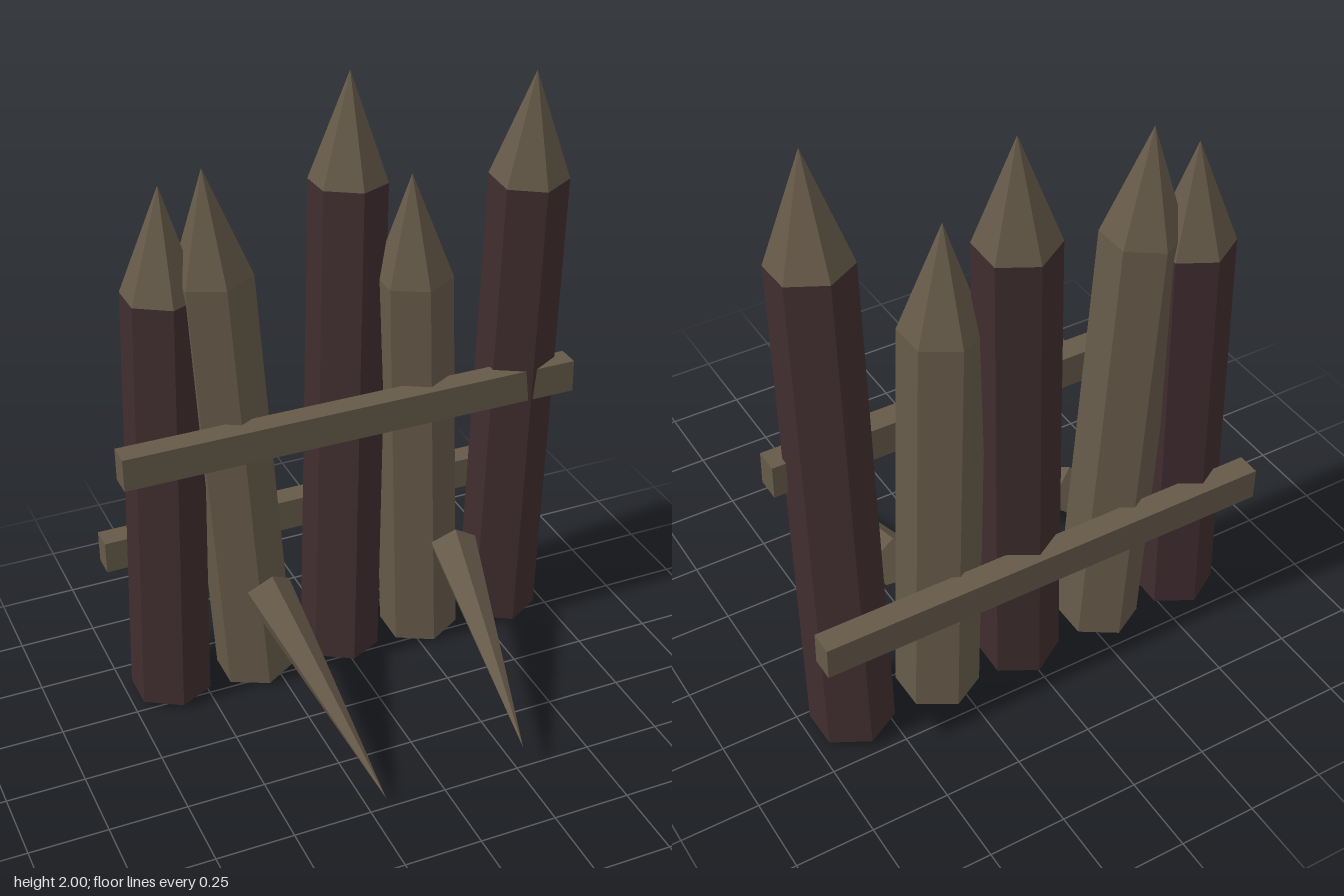
import * as THREE from 'three';

const wood = new THREE.MeshStandardMaterial({ color: 0x665a49, flatShading: true });
wood.name = 'weathered wood';
const bark = new THREE.MeshStandardMaterial({ color: 0x402d2f, flatShading: true });
bark.name = 'dark bark';

const UP = new THREE.Vector3(0, 1, 0);
const FRONT = new THREE.Vector3(0, 0, 1);

// Stands an object at `from` with its y axis towards `to`, and one corner turned to `corner`
function aim(object, from, to, corner) {
  const y = to.clone().sub(from).normalize();
  const z = corner.clone().addScaledVector(y, -corner.dot(y)).normalize();
  const x = new THREE.Vector3().crossVectors(y, z);
  object.quaternion.setFromRotationMatrix(new THREE.Matrix4().makeBasis(x, y, z));
  object.position.copy(from);
  return object;
}

function part(name, geometry, material) {
  const mesh = new THREE.Mesh(geometry, material);
  mesh.name = name;
  return mesh;
}

// Six-sided leaning post with a sharpened point
function stake(name, baseX, tip, material) {
  const from = new THREE.Vector3(baseX, 0.01, -0.337);
  const to = new THREE.Vector3(...tip);
  const tipHeight = 0.345;
  const height = from.distanceTo(to) - tipHeight;
  const group = new THREE.Group();
  group.name = name;
  const post = part('post', new THREE.CylinderGeometry(0.125, 0.132, height, 6), material);
  post.position.y = height / 2;
  const point = part('sharpenedPoint', new THREE.ConeGeometry(0.125, tipHeight, 6, 1, true), wood);
  point.position.y = height + tipHeight / 2;
  group.add(post, point);
  return aim(group, from, to, FRONT);
}

// Five-sided spike jutting forwards and down
function spike(name, base, tip) {
  const from = new THREE.Vector3(...base);
  const to = new THREE.Vector3(...tip);
  const length = from.distanceTo(to);
  const geometry = new THREE.ConeGeometry(0.08, length, 5).translate(0, length / 2, 0);
  return aim(part(name, geometry, wood), from, to, UP);
}

function rail(name, y, z) {
  const mesh = part(name, new THREE.BoxGeometry(1.517, 0.108, 0.077), wood);
  mesh.position.set(-0.002, y, z);
  return mesh;
}

export function createModel() {
  const model = new THREE.Group();
  model.name = 'palisade';

  // Stakes from right to left
  model.add(
    stake('stake1', -0.605, [-0.53, 1.76, -0.385], bark),
    stake('stake2', -0.305, [-0.413, 1.815, -0.33], wood),
    stake('stake3', 0, [0.1, 2, -0.435], bark),
    stake('stake4', 0.297, [0.241, 1.7, -0.295], wood),
    stake('stake5', 0.6, [0.605, 2, -0.207], bark),
  );

  // Cross rails, one on each side
  model.add(rail('frontRail', 0.96, -0.193), rail('backRail', 0.488, -0.48));

  // Spikes at the front
  model.add(
    spike('rightSpike', [-0.312, 0.407, -0.182], [-0.2, 0.04, 0.503]),
    spike('leftSpike', [0.345, 0.406, -0.178], [0.245, 0.118, 0.541]),
  );
  return model;
}
